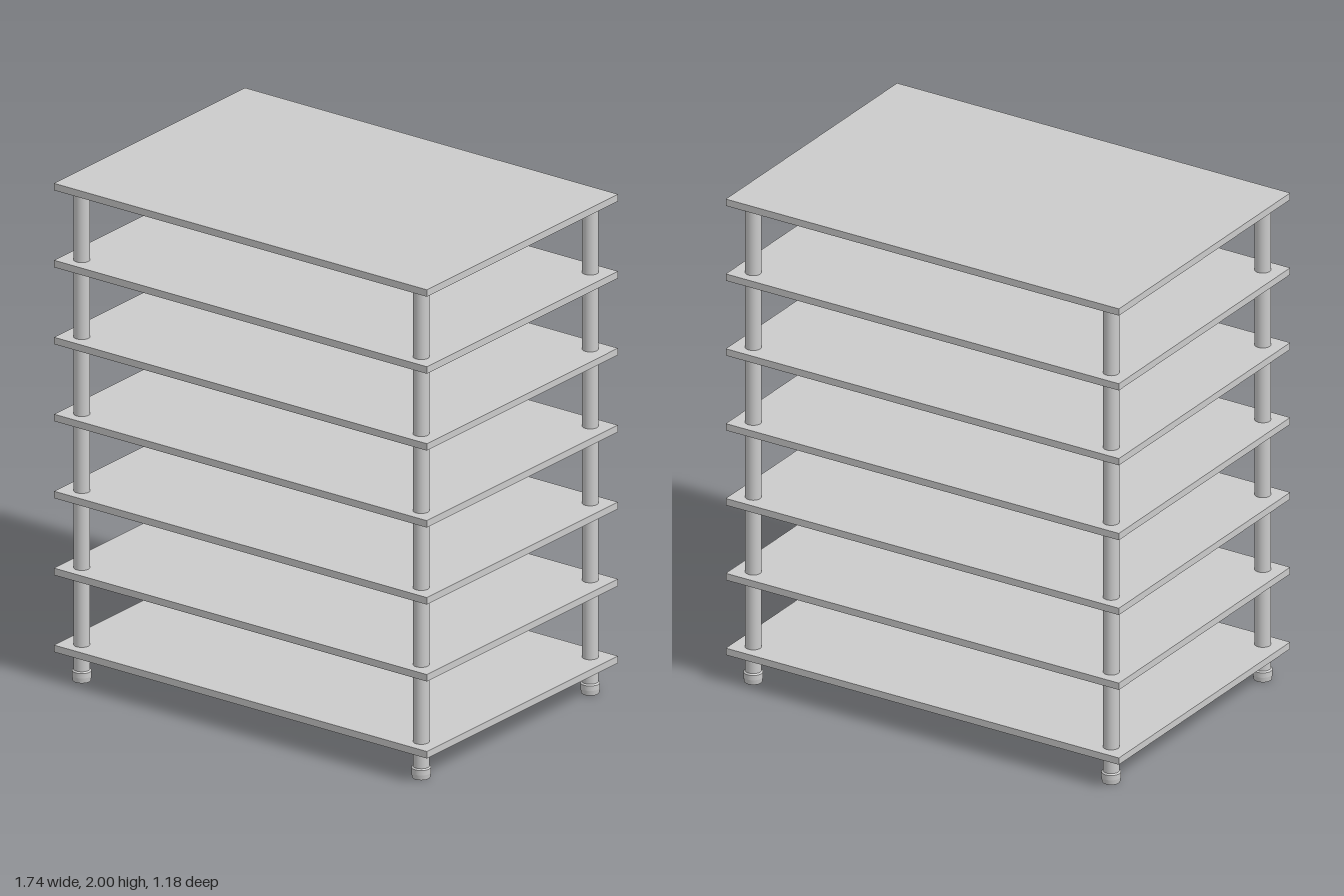
import * as THREE from 'three';

const WIDTH = 1.74, DEPTH = 1.18, THICK = 0.028;
const SHELVES = 7, SPACING = 0.3095, TOP = 2;
const POST_X = 0.792, POST_Z = 0.522, POST_R = 0.031, FOOT_H = 0.045;

export function createModel() {
  const group = new THREE.Group();
  group.name = 'shelfUnit';
  const material = new THREE.MeshStandardMaterial({ color: 0xcccccc });

  const add = (name, geometry, x, y, z) => {
    const mesh = new THREE.Mesh(geometry, material);
    mesh.name = name;
    mesh.position.set(x, y, z);
    group.add(mesh);
  };

  // Evenly spaced flat shelves, counted from the top
  const shelf = new THREE.BoxGeometry(WIDTH, THICK, DEPTH);
  for (let i = 0; i < SHELVES; i++) {
    add(`shelf${i + 1}`, shelf, 0, TOP - THICK / 2 - i * SPACING, 0);
  }

  // Round posts run through the shelves and stop under the top one
  const postHeight = TOP - THICK - FOOT_H + 0.01;
  const post = new THREE.CylinderGeometry(POST_R, POST_R, postHeight, 32);

  // Feet: a slightly wider collar that tapers towards the floor
  const foot = new THREE.LatheGeometry([
    [0, 0], [0.034, 0], [0.034, 0], [0.037, 0.02], [0.037, 0.02],
    [0.037, 0.04], [0.037, 0.04], [POST_R, FOOT_H], [POST_R, FOOT_H], [0, FOOT_H],
  ].map(([r, y]) => new THREE.Vector2(r, y)), 32);

  for (const [side, sx] of [['Left', 1], ['Right', -1]]) {
    for (const [end, sz] of [['front', 1], ['back', -1]]) {
      add(`${end}${side}Post`, post, sx * POST_X, FOOT_H - 0.01 + postHeight / 2, sz * POST_Z);
      add(`${end}${side}Foot`, foot, sx * POST_X, 0, sz * POST_Z);
    }
  }

  return group;
}
